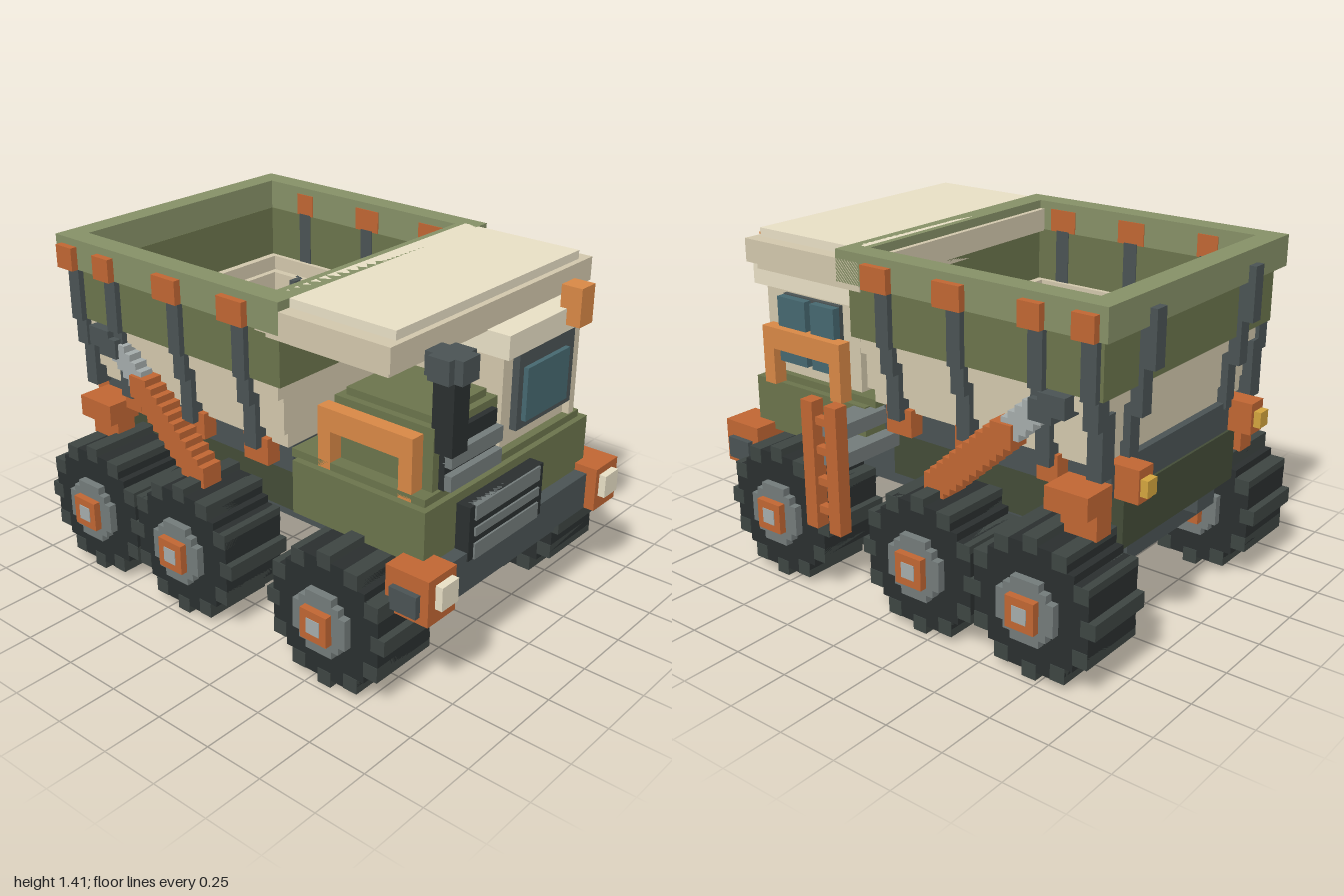
import * as THREE from 'three';

const C = {
  green: 0x6b744c, lightGreen: 0x869067, darkGreen: 0x434c37, cream: 0xe8dfc5, tan: 0xd2c7ac,
  dark: 0x4a5354, black: 0x2a2f2f, lug: 0x3d4542, grey: 0x737b7a, lightGrey: 0xa5acab,
  orange: 0xc06633, amber: 0xd88846, glass: 0x466870, yellow: 0xd3a53e,
};
const mats = {};
for (const k in C) mats[k] = new THREE.MeshStandardMaterial({ color: C[k], flatShading: true });
const V = 0.0314; // size of one block

export function createModel() {
  const root = new THREE.Group();
  root.name = 'dumpTruck';
  const group = (name) => {
    const g = new THREE.Group();
    g.name = name;
    root.add(g);
    return g;
  };
  // box from its limits in x, y and z
  const box = (g, name, color, x0, x1, y0, y1, z0, z1) => {
    const m = new THREE.Mesh(new THREE.BoxGeometry(x1 - x0, y1 - y0, z1 - z0), mats[color]);
    m.position.set((x0 + x1) / 2, (y0 + y1) / 2, (z0 + z1) / 2);
    m.name = name;
    g.add(m);
  };
  // the same box on both sides
  const pair = (g, name, color, x0, x1, ...yz) => {
    box(g, name, color, x0, x1, ...yz);
    box(g, name, color, -x1, -x0, ...yz);
  };
  // hollow rectangular ring with walls of thickness t
  const frame = (g, name, color, x, y0, y1, z0, z1, t) => {
    pair(g, name, color, x - t, x, y0, y1, z0, z1);
    box(g, name, color, t - x, x - t, y0, y1, z0, z0 + t);
    box(g, name, color, t - x, x - t, y0, y1, z1 - t, z1);
  };
  // stepped disc made of one outline, extruded along x
  const disc = (g, name, color, r, x0, x1, y, z) => {
    const n = Math.floor(r / V), pts = [];
    for (let j = -n; j < n; j++) {
      const h = (j + 0.5) * V;
      const w = Math.round(Math.sqrt(r * r - h * h) / V) * V;
      pts.push([w, j * V], [w, (j + 1) * V]);
    }
    const outline = [...pts, ...pts.map(([w, h]) => [-w, h]).reverse()];
    const shape = new THREE.Shape(outline.map((p) => new THREE.Vector2(...p)));
    const geo = new THREE.ExtrudeGeometry(shape, { depth: x1 - x0, bevelEnabled: false });
    geo.rotateY(Math.PI / 2);
    const m = new THREE.Mesh(geo, mats[color]);
    m.position.set(x0, y, z);
    m.name = name;
    g.add(m);
  };

  // wheels and axles
  const wy = 0.282;
  for (const wz of [0.57, -0.185, -0.705]) {
    const g = group('axleAndWheels');
    box(g, 'axle', 'dark', -0.38, 0.38, 0.285, 0.38, wz - 0.08, wz + 0.08);
    for (const s of [1, -1]) {
      const span = (a, b) => (s > 0 ? [a, b] : [-b, -a]);
      disc(g, 'tire', 'black', 0.267, ...span(0.413, 0.717), wy, wz);
      for (let i = 0; i < 12; i++) {
        const a = (i * Math.PI) / 6;
        const ly = wy + Math.round((Math.sin(a) * 0.25) / V) * V;
        const lz = wz + Math.round((Math.cos(a) * 0.25) / V) * V;
        box(g, 'treadBlock', 'lug', ...span(0.41, 0.72), ly - V, ly + V, lz - V, lz + V);
      }
      disc(g, 'rim', 'grey', 0.126, ...span(0.38, 0.75), wy, wz);
      box(g, 'hub', 'orange', ...span(0.345, 0.78), wy - 0.063, wy + 0.063, wz - 0.063, wz + 0.063);
      box(g, 'hubCap', 'lightGrey', ...span(0.7, 0.783), wy - V, wy + V, wz - V, wz + V);
    }
  }

  // chassis
  const ch = group('chassis');
  pair(ch, 'rail', 'dark', 0.19, 0.32, 0.35, 0.47, -0.85, 0.8);
  box(ch, 'lowerBody', 'darkGreen', -0.4, 0.4, 0.44, 0.66, -0.88, 0.22);
  box(ch, 'sideBeams', 'dark', -0.47, 0.47, 0.66, 0.785, -0.87, 0.2);
  box(ch, 'cabFloor', 'dark', -0.4, 0.4, 0.44, 0.56, 0.16, 0.8);
  box(ch, 'frontCrossBeam', 'dark', -0.38, 0.38, 0.285, 0.38, 0.66, 0.85);
  box(ch, 'bumper', 'dark', -0.6, 0.6, 0.38, 0.535, 0.79, 0.925);
  pair(ch, 'headlampHousing', 'orange', 0.47, 0.63, 0.38, 0.565, 0.78, 0.97);
  pair(ch, 'headlampSide', 'dark', 0.6, 0.655, 0.41, 0.5, 0.815, 0.935);
  pair(ch, 'headlamp', 'cream', 0.495, 0.59, 0.44, 0.535, 0.96, 1.0);
  pair(ch, 'rearBracketLow', 'orange', 0.47, 0.56, 0.53, 0.66, -0.875, -0.72);
  pair(ch, 'rearBracket', 'orange', 0.47, 0.62, 0.63, 0.72, -0.875, -0.69);
  pair(ch, 'tailLampArm', 'orange', 0.36, 0.45, 0.66, 0.79, -0.97, -0.81);
  pair(ch, 'tailLamp', 'yellow', 0.38, 0.44, 0.69, 0.755, -1.0, -0.96);

  // front body and grilles
  const fr = group('frontBody');
  box(fr, 'lowerCab', 'green', -0.53, 0.53, 0.535, 0.755, 0.25, 0.87);
  box(fr, 'lowerCabTop', 'green', -0.5, 0.5, 0.75, 0.785, 0.22, 0.845);
  box(fr, 'grilleBack', 'black', -0.345, 0.125, 0.5, 0.72, 0.85, 0.93);
  for (const [a, b] of [[0.5, 0.565], [0.595, 0.63], [0.66, 0.72]])
    box(fr, 'grilleSlat', 'grey', -0.315, 0.095, a, b, 0.88, 0.938);
  box(fr, 'engineHousing', 'green', -0.44, -0.06, 0.78, 1.03, 0.38, 0.83);
  box(fr, 'engineHousingTop', 'green', -0.41, -0.09, 1.03, 1.06, 0.41, 0.8);
  box(fr, 'upperGrilleBack', 'black', -0.405, -0.095, 0.785, 1.0, 0.8, 0.855);
  for (const y of [0.79, 0.88])
    box(fr, 'upperGrilleSlat', 'grey', -0.405, -0.095, y, y + 0.06, 0.84, 0.885);
  box(fr, 'exhaustPipe', 'black', -0.435, -0.345, 0.94, 1.22, 0.815, 0.905);
  box(fr, 'exhaustCap', 'dark', -0.47, -0.315, 1.22, 1.31, 0.815, 0.905);
  box(fr, 'exhaustCap', 'dark', -0.44, -0.345, 1.22, 1.31, 0.78, 0.94);

  // cab
  const cab = group('cab');
  box(cab, 'cabShell', 'tan', 0, 0.47, 0.78, 1.165, 0.32, 0.81);
  box(cab, 'windscreenFrame', 'dark', 0.06, 0.435, 0.845, 1.155, 0.78, 0.84);
  box(cab, 'windscreen', 'glass', 0.09, 0.375, 0.88, 1.095, 0.82, 0.86);
  box(cab, 'cornerPost', 'tan', 0.435, 0.47, 0.785, 1.16, 0.78, 0.84);
  box(cab, 'sideWindowFrame', 'dark', 0.45, 0.49, 0.85, 1.13, 0.41, 0.725);
  for (const [a, b] of [[0.41, 0.54], [0.57, 0.725]])
    box(cab, 'sideWindow', 'glass', 0.46, 0.525, 0.85, 1.125, a, b);
  box(cab, 'cabRoof', 'cream', -0.03, 0.53, 1.16, 1.255, 0.28, 0.85);
  box(cab, 'beacon', 'amber', 0.345, 0.435, 1.19, 1.345, 0.82, 0.91);
  for (const x of [0.5, -0.5]) {
    box(cab, 'handrail', 'amber', x, x + 0.06, 0.91, 1.0, 0.35, 0.785);
    for (const z of [0.35, 0.725])
      box(cab, 'handrailLeg', 'amber', x, x + 0.06, 0.755, 0.92, z, z + 0.06);
  }

  // ladder on the left side
  const ld = group('ladder');
  for (const z of [0.16, 0.285]) box(ld, 'ladderRail', 'orange', 0.72, 0.78, 0.315, 0.845, z, z + 0.06);
  for (const y of [0.38, 0.5, 0.63, 0.75])
    box(ld, 'rung', 'orange', 0.73, 0.765, y, y + V, 0.2, 0.3);
  for (const y of [0.57, 0.69]) box(ld, 'ladderBracket', 'grey', 0.4, 0.73, y, y + 0.06, 0.19, 0.31);

  // dump bed: stepped walls, widest at the rim
  const bed = group('dumpBed');
  box(bed, 'bedFloor', 'dark', -0.45, 0.45, 0.75, 0.79, -0.8, 0.15);
  frame(bed, 'bedLiner', 'green', 0.5, 0.785, 0.88, -0.815, 0.15, 0.06);
  frame(bed, 'lowerWall', 'tan', 0.51, 0.785, 0.85, -0.84, 0.21, 0.04);
  frame(bed, 'lowerWall', 'tan', 0.54, 0.85, 1.0, -0.85, 0.22, 0.065);
  frame(bed, 'wallLedge', 'tan', 0.57, 1.0, 1.065, -0.875, 0.22, 0.062);
  frame(bed, 'upperWall', 'green', 0.59, 1.065, 1.285, -0.905, 0.25, 0.06);
  frame(bed, 'bedRim', 'lightGreen', 0.625, 1.285, 1.41, -0.94, 0.28, 0.093);
  for (const z of [0.065, -0.28, -0.64, -0.86]) {
    const mid = z > -0.8; // the middle posts also show inside the bed
    if (mid) pair(bed, 'innerPost', 'dark', 0.437, 0.5, 0.79, 1.0, z - V / 2, z + V / 2);
    pair(bed, 'sidePostLow', 'dark', 0.49, 0.565, 0.76, 1.0, z - V, z + V);
    pair(bed, 'sidePostMid', 'dark', 0.53, 0.595, 0.95, 1.13, z - V, z + V);
    pair(bed, 'sidePostTop', 'dark', mid ? 0.526 : 0.55, 0.615, 1.06, 1.29, z - V, z + V);
    const w = z < -0.5 ? 0.046 : 0.063;
    pair(bed, 'postCap', 'orange', mid ? 0.528 : 0.55, 0.655, 1.285, 1.38, z - w, z + w);
    if (mid) pair(bed, 'postFoot', 'orange', 0.41, 0.535, 0.69, 0.8, z - w, z + w);
  }
  pair(bed, 'rearPostLow', 'dark', 0.315, 0.375, 0.76, 1.0, -0.88, -0.82);
  pair(bed, 'rearPostMid', 'dark', 0.315, 0.375, 0.95, 1.16, -0.925, -0.85);
  pair(bed, 'rearPostTop', 'dark', 0.315, 0.375, 1.13, 1.35, -0.97, -0.89);

  // canopy over the cab
  const cp = group('canopy');
  box(cp, 'canopyUnderside', 'tan', -0.595, 0.595, 1.25, 1.29, 0.19, 0.75);
  box(cp, 'canopySlab', 'tan', -0.625, 0.625, 1.28, 1.375, 0.165, 0.78);
  box(cp, 'canopyTop', 'cream', -0.565, 0.565, 1.37, 1.41, 0.215, 0.755);

  // lifting rams, stepped up towards the rear
  const ram = group('liftingRams');
  for (let i = 0; i < 15; i++) {
    const y = 0.575 + i * V * 0.9, z = -0.185 - i * V;
    if (i < 11) pair(ram, 'ramBarrel', 'orange', 0.53, 0.625, y - 0.047, y + 0.047, z - 0.047, z + 0.047);
    else pair(ram, 'ramRod', 'lightGrey', 0.55, 0.61, y - 0.04, y + 0.04, z - 0.04, z + 0.04);
  }
  pair(ram, 'ramJoint', 'dark', 0.53, 0.625, 0.95, 1.03, -0.72, -0.62);
  pair(ram, 'ramJoint', 'dark', 0.53, 0.625, 0.98, 1.06, -0.775, -0.66);
  return root;
}
